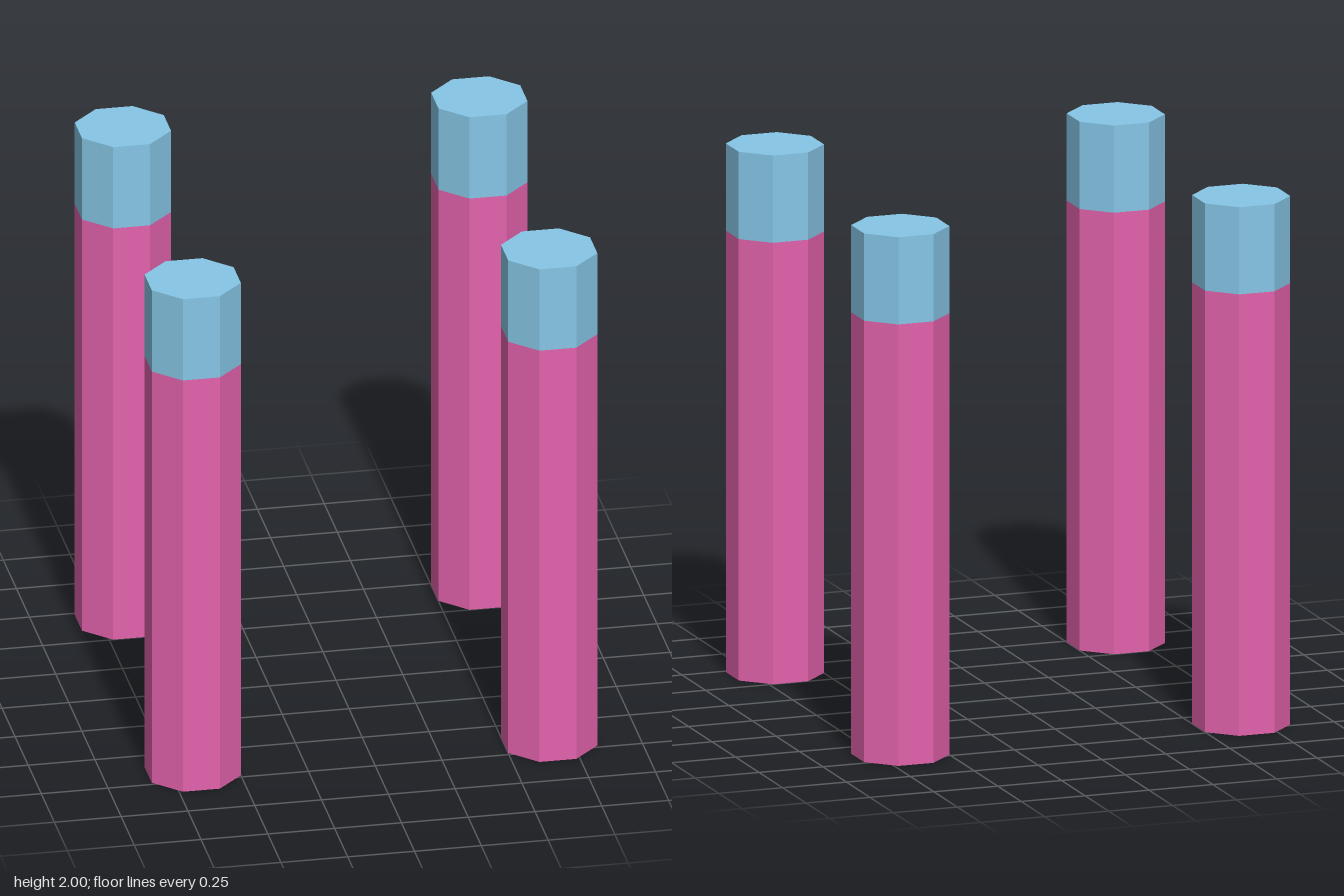
import * as THREE from 'three';

const SPLIT = 1.67; // height where the cap band begins
const TOP = 2;
const OFFSET = 0.667; // distance of each post from the centre lines
const RADIUS = 0.1667 / Math.cos(Math.PI / 8); // corner radius from the flat-to-flat width

// Eight-sided solid of revolution with flats facing the axes
function octagon(profile) {
  const points = profile.map(([r, y]) => new THREE.Vector2(r, y));
  return new THREE.LatheGeometry(points, 8, Math.PI / 8, Math.PI * 2);
}

export function createModel() {
  const model = new THREE.Group();
  model.name = 'posts';

  const pink = new THREE.MeshStandardMaterial({ color: 0xe362ac, flatShading: true });
  const blue = new THREE.MeshStandardMaterial({ color: 0x86c6e6, flatShading: true });

  // Shaft is closed at the bottom, cap is closed at the top
  const shaftGeometry = octagon([[0, 0], [RADIUS, 0], [RADIUS, SPLIT]]);
  const capGeometry = octagon([[RADIUS, SPLIT], [RADIUS, TOP], [0, TOP]]);

  // One post at each corner of a square
  for (const x of [1, -1]) {
    for (const z of [1, -1]) {
      const post = new THREE.Group();
      post.name = (z > 0 ? 'front' : 'back') + (x > 0 ? 'Left' : 'Right') + 'Post';
      const shaft = new THREE.Mesh(shaftGeometry, pink);
      shaft.name = 'shaft';
      const cap = new THREE.Mesh(capGeometry, blue);
      cap.name = 'cap';
      post.add(shaft, cap);
      post.position.set(x * OFFSET, 0, z * OFFSET);
      model.add(post);
    }
  }
  return model;
}
